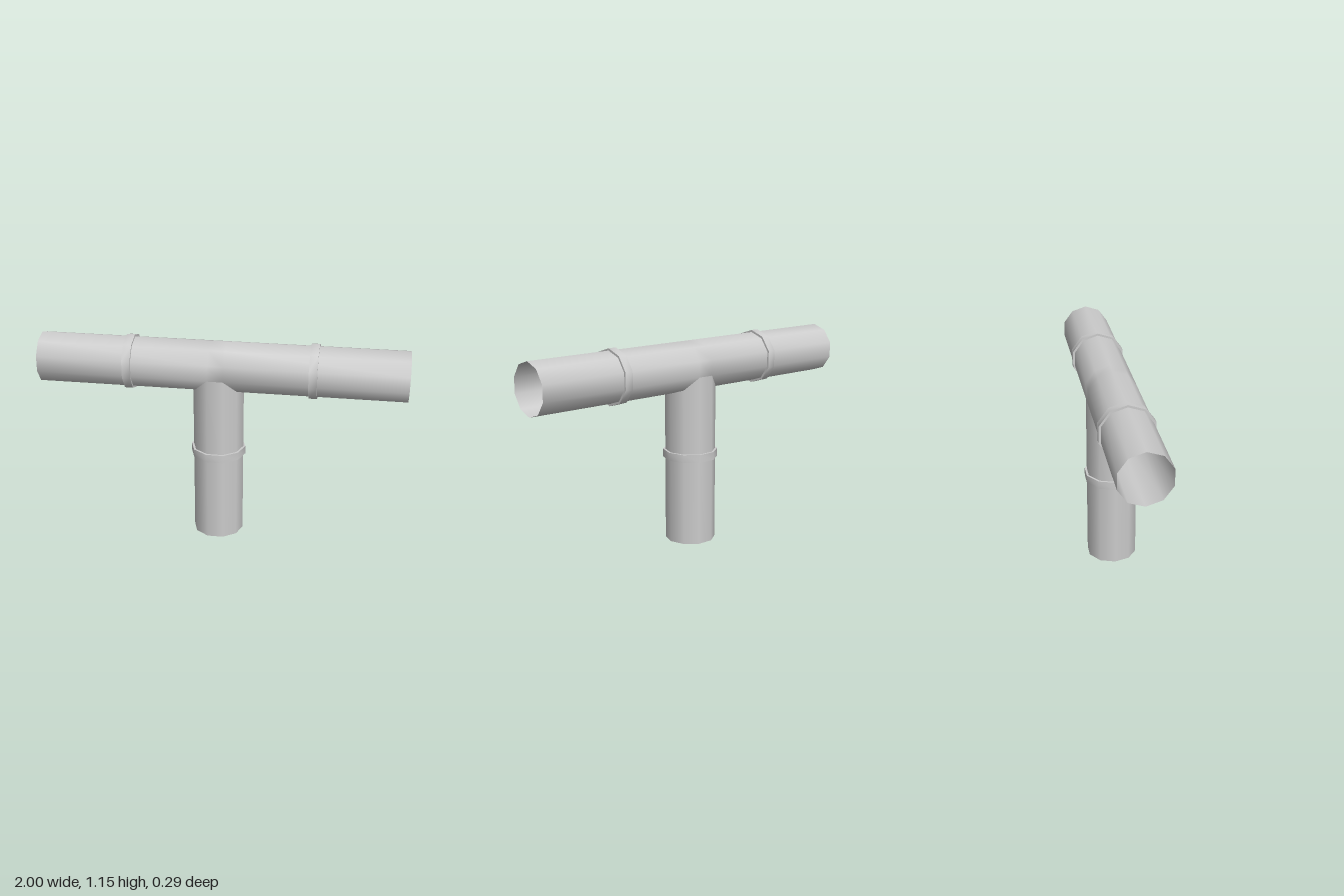
import * as THREE from 'three';
import { toCreasedNormals } from 'three/addons/utils/BufferGeometryUtils.js';

const SIDES = 10;
const R = 0.14;          // pipe radius
const RING_R = 0.152;    // collar radius
const AXIS_Y = 0.995;    // height of the horizontal pipe
const STEM_X = -0.02;    // position of the vertical pipe
const STEP = (Math.PI * 2) / SIDES;

export function createModel() {
  const group = new THREE.Group();
  const material = new THREE.MeshStandardMaterial({ color: 0xcccccc, side: THREE.DoubleSide });

  const add = (name, geometry, x = 0, y = 0) => {
    const mesh = new THREE.Mesh(geometry, material);
    mesh.name = name;
    mesh.position.set(x, y, 0);
    group.add(mesh);
  };

  add('horizontalPipe', horizontalPipe(), 0, AXIS_Y);
  add('verticalPipe', verticalPipe(), STEM_X, 0);
  add('leftCollar', collar().rotateZ(Math.PI / 2), 0.5, AXIS_Y);
  add('rightCollar', collar().rotateZ(Math.PI / 2), -0.5, AXIS_Y);
  add('lowerCollar', collar(), STEM_X, 0.5);
  return group;
}

// Open ten-sided tube along x, with an opening underneath where the stem joins
function horizontalPipe() {
  const positions = [];
  const index = [];
  for (let k = 0; k < SIDES; k++) {
    const a = k * STEP; // measured from the bottom edge
    const z = R * Math.sin(a);
    const half = Math.sqrt(Math.max(0, R * R - z * z));
    const w = Math.max(half, R * Math.cos(2 * STEP));
    const cut = Math.cos(a) > 0 ? w : R * Math.cos(2 * STEP);
    for (const x of [-1, STEM_X - cut, STEM_X + cut, 1]) positions.push(x, -R * Math.cos(a), z);

    const next = (k + 1) % SIDES;
    const isOpen = k < 2 || k >= SIDES - 2;
    for (let c = 0; c < 3; c++) {
      if (c === 1 && isOpen) continue;
      const p = k * 4 + c;
      const q = next * 4 + c;
      index.push(p, p + 1, q, p + 1, q + 1, q);
    }
  }
  const geometry = new THREE.BufferGeometry();
  geometry.setAttribute('position', new THREE.Float32BufferAttribute(positions, 3));
  geometry.setIndex(index);
  geometry.computeVertexNormals();
  return geometry;
}

// Open stem whose upper rim follows the underside of the horizontal pipe
function verticalPipe() {
  const geometry = new THREE.CylinderGeometry(R, R, 1, SIDES, 1, true, Math.PI / 2);
  geometry.translate(0, 0.5, 0);
  const pos = geometry.attributes.position;
  for (let i = 0; i < pos.count; i++) {
    if (pos.getY(i) < 0.5) continue;
    const z = pos.getZ(i);
    pos.setY(i, AXIS_Y - Math.sqrt(R * R - z * z));
  }
  return geometry;
}

// Raised band with flat sides, around the y axis
function collar() {
  const h = 0.0225;
  const profile = [[R, -h], [RING_R, -h], [RING_R, h], [R, h]].map(([x, y]) => new THREE.Vector2(x, y));
  return toCreasedNormals(new THREE.LatheGeometry(profile, SIDES, Math.PI / 2), 0.8);
}
